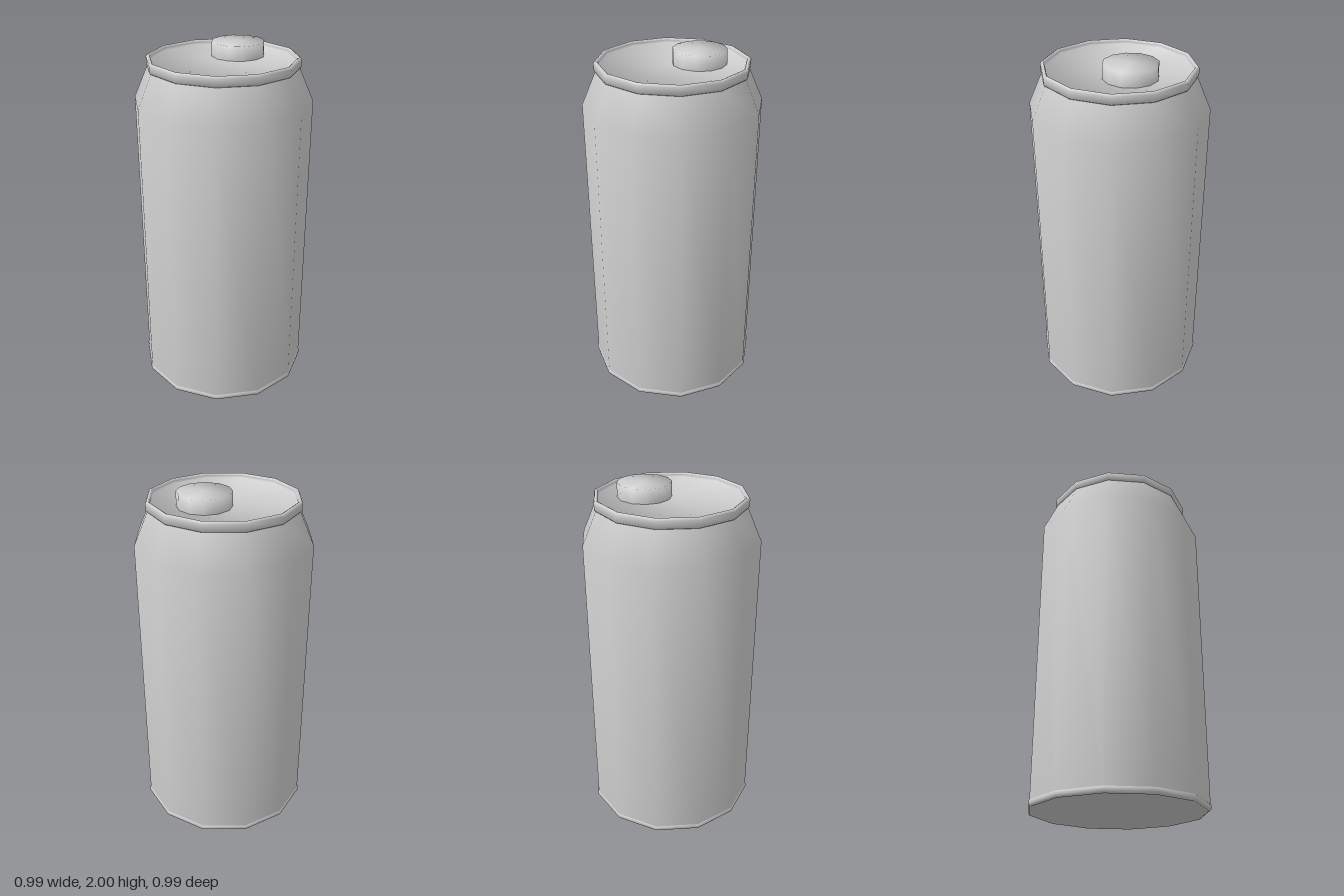
import * as THREE from 'three';

const SIDES = 12;
const material = new THREE.MeshStandardMaterial({ color: 0xcccccc });

// Lathe a profile; each ring's normal is the even average of its two neighbouring bands
function turned(name, profile, phiStart = 0) {
  const points = profile.map(([r, y]) => new THREE.Vector2(r, y));
  const geometry = new THREE.LatheGeometry(points, SIDES, phiStart);
  const bands = points.slice(1).map((p, i) =>
    new THREE.Vector2(p.y - points[i].y, points[i].x - p.x).normalize());
  const normal = geometry.attributes.normal;
  for (let s = 0; s <= SIDES; s++) {
    const phi = phiStart + (s / SIDES) * Math.PI * 2;
    points.forEach((p, i) => {
      const n = new THREE.Vector2();
      if (i > 0) n.add(bands[i - 1]);
      if (i < bands.length) n.add(bands[i]);
      n.normalize();
      normal.setXYZ(s * points.length + i, n.x * Math.sin(phi), n.y, n.x * Math.cos(phi));
    });
  }
  const mesh = new THREE.Mesh(geometry, material);
  mesh.name = name;
  return mesh;
}

export function createModel() {
  const can = new THREE.Group();
  can.name = 'drinkCan';

  // Straight wall with a tapered shoulder
  can.add(turned('body', [[0.492, 0.03], [0.492, 1.71], [0.41, 1.895]]));

  // Closed bottom with a rounded bead around it
  can.add(turned('base', [
    [0, 0.004], [0.47, 0.004], [0.482, 0], [0.492, 0.004],
    [0.497, 0.013], [0.497, 0.028], [0.49, 0.037],
  ]));

  // Rolled rim
  can.add(turned('topRim', [
    [0.4, 1.892], [0.412, 1.89], [0.419, 1.896], [0.42, 1.935],
    [0.416, 1.943], [0.408, 1.947], [0.401, 1.944], [0.397, 1.935],
  ]));

  // Shallow recessed lid
  can.add(turned('lid', [[0.397, 1.937], [0.396, 1.922], [0, 1.922]]));

  // Round tab, set towards the back of the lid
  const tab = turned('tab', [[0.147, 1.915], [0.147, 2], [0, 2]], Math.PI / SIDES);
  tab.position.z = -0.142;
  can.add(tab);

  return can;
}
